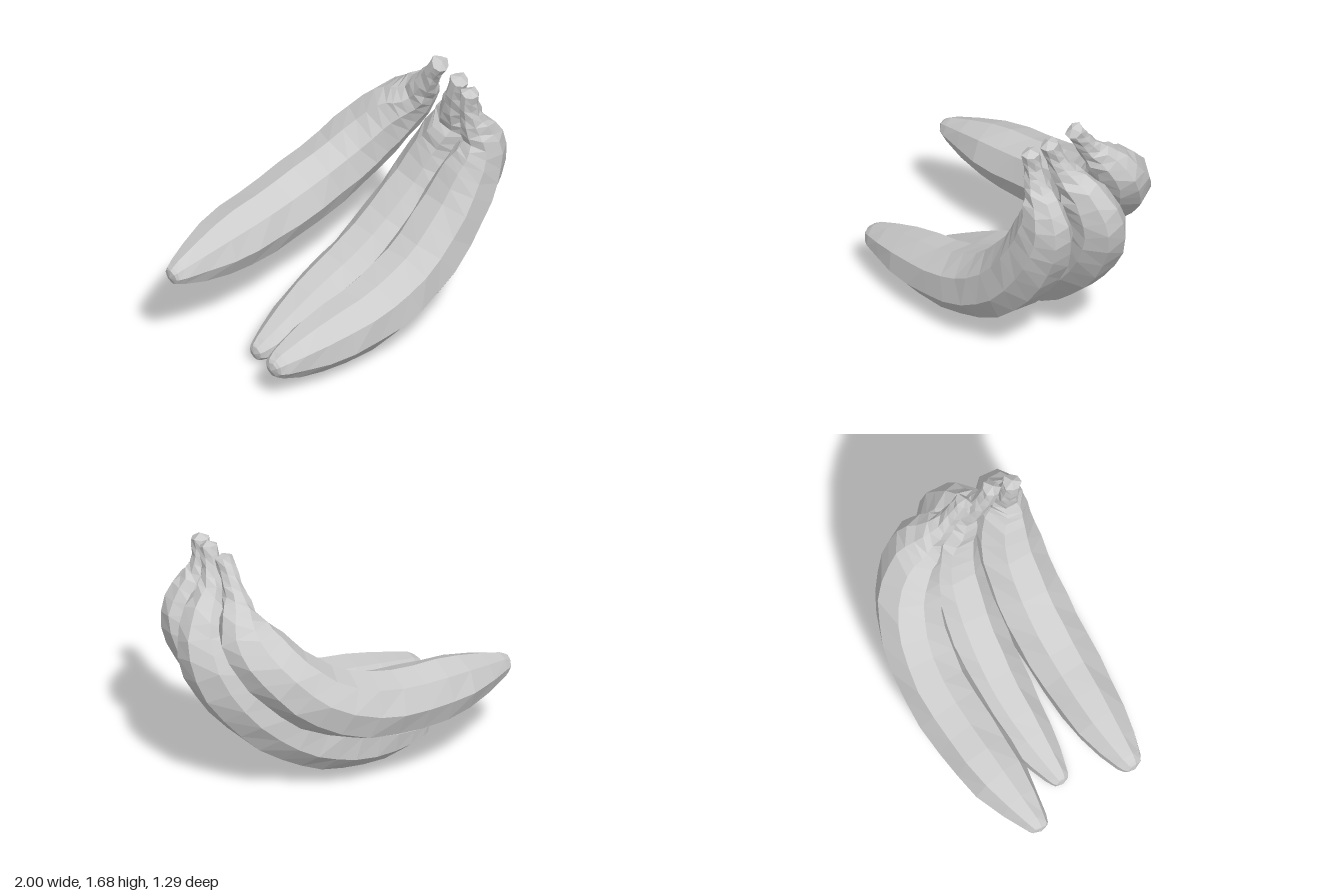
import * as THREE from 'three';

const SIDES = 8;
const material = new THREE.MeshStandardMaterial({ color: 0xcccccc, flatShading: true });

// roll turns the ridges about the spine; each station, from blossom tip
// to stem, gives x, y, z, radius
const bananas = {
  frontBanana: { roll: 0.3, stations: [
    [-0.885, 0.245, 0.34, 0.047], [-0.83, 0.25, 0.34, 0.088], [-0.55, 0.26, 0.35, 0.168],
    [-0.2, 0.295, 0.375, 0.203], [0.1, 0.385, 0.395, 0.215], [0.35, 0.55, 0.415, 0.215],
    [0.56, 0.8, 0.44, 0.206], [0.68, 1.02, 0.475, 0.182], [0.72, 1.18, 0.51, 0.145],
    [0.695, 1.3, 0.51, 0.108], [0.645, 1.4, 0.5, 0.074], [0.62, 1.51, 0.5, 0.055], [0.615, 1.62, 0.515, 0.057],
  ] },
  middleBanana: { roll: 0.39, stations: [
    [-0.66, 0.08, -0.03, 0.047], [-0.6, 0.09, -0.03, 0.077], [-0.35, 0.145, -0.035, 0.148],
    [-0.05, 0.235, -0.03, 0.192], [0.2, 0.343, -0.005, 0.204], [0.45, 0.525, 0.03, 0.21],
    [0.66, 0.755, 0.08, 0.208], [0.785, 0.99, 0.14, 0.195], [0.8, 1.16, 0.2, 0.167],
    [0.77, 1.29, 0.255, 0.128], [0.695, 1.4, 0.3, 0.082], [0.66, 1.52, 0.345, 0.058], [0.65, 1.64, 0.39, 0.057],
  ] },
  backBanana: { roll: 0.05, stations: [
    [-0.985, 0.6, -0.42, 0.047], [-0.93, 0.605, -0.42, 0.08], [-0.6, 0.615, -0.435, 0.178],
    [-0.25, 0.64, -0.435, 0.205], [0.1, 0.705, -0.42, 0.21], [0.4, 0.845, -0.36, 0.207],
    [0.58, 1.01, -0.28, 0.2], [0.685, 1.155, -0.18, 0.178], [0.73, 1.27, -0.085, 0.147],
    [0.72, 1.37, -0.005, 0.108], [0.69, 1.46, 0.07, 0.072], [0.68, 1.56, 0.135, 0.056], [0.675, 1.655, 0.2, 0.057],
  ] },
};

// Sweep a slightly uneven octagon along a smooth spine and close both ends
function bananaGeometry({ roll, stations }) {
  const smooth = (points) => new THREE.CatmullRomCurve3(points, false, 'catmullrom')
    .getPoints((stations.length - 1) * 2);
  const centres = smooth(stations.map(([x, y, z]) => new THREE.Vector3(x, y, z)));
  const radii = smooth(stations.map((s) => new THREE.Vector3(s[3], 0, 0))).map((v) => v.x);
  const last = centres.length - 1;
  const positions = [];
  const index = [];
  const tangent = (i) => centres[Math.min(i + 1, last)].clone()
    .sub(centres[Math.max(i - 1, 0)]).normalize();

  centres.forEach((centre, i) => {
    const t = tangent(i);
    const across = new THREE.Vector3(0, 0, 1).addScaledVector(t, -t.z).normalize();
    const up = new THREE.Vector3().crossVectors(across, t);
    const rough = i > 17 ? 0.08 : 0.02; // the stem is more gnarled than the body
    const shoulder = Math.max(0, 1 - Math.abs(i - 16) / 4); // deeper, narrower shoulder
    for (let j = 0; j < SIDES; j++) {
      const a = roll + (j / SIDES) * Math.PI * 2;
      const r = radii[i] * (1.02 + rough * Math.sin(i * 4.1 + j * 2.7));
      const slide = radii[i] * rough * 1.5 * Math.sin(i * 2.3 + j * 3.9);
      const p = centre.clone()
        .addScaledVector(up, r * Math.cos(a) * (1 + 0.17 * shoulder))
        .addScaledVector(across, r * Math.sin(a) * (1 - 0.1 * shoulder))
        .addScaledVector(t, slide);
      positions.push(p.x, p.y, p.z);
    }
  });

  for (let i = 0; i < last; i++) {
    for (let j = 0; j < SIDES; j++) {
      const a = i * SIDES + j;
      const b = i * SIDES + (j + 1) % SIDES;
      index.push(a, b, a + SIDES, b, b + SIDES, a + SIDES);
    }
  }

  // Blunt blossom tip and cut stem end
  const tip = centres[0].clone().addScaledVector(tangent(0), -0.015);
  const cut = centres[last].clone().addScaledVector(tangent(last), 0.03);
  const tipId = positions.length / 3;
  positions.push(tip.x, tip.y, tip.z, cut.x, cut.y, cut.z);
  for (let j = 0; j < SIDES; j++) {
    const k = (j + 1) % SIDES;
    index.push(tipId, k, j, tipId + 1, last * SIDES + j, last * SIDES + k);
  }

  const geometry = new THREE.BufferGeometry();
  geometry.setAttribute('position', new THREE.Float32BufferAttribute(positions, 3));
  geometry.setIndex(index);
  const faceted = geometry.toNonIndexed();
  faceted.computeVertexNormals();
  return faceted;
}

export function createModel() {
  const group = new THREE.Group();
  group.name = 'bananaBunch';
  for (const [name, banana] of Object.entries(bananas)) {
    const mesh = new THREE.Mesh(bananaGeometry(banana), material);
    mesh.name = name;
    group.add(mesh);
  }
  return group;
}
